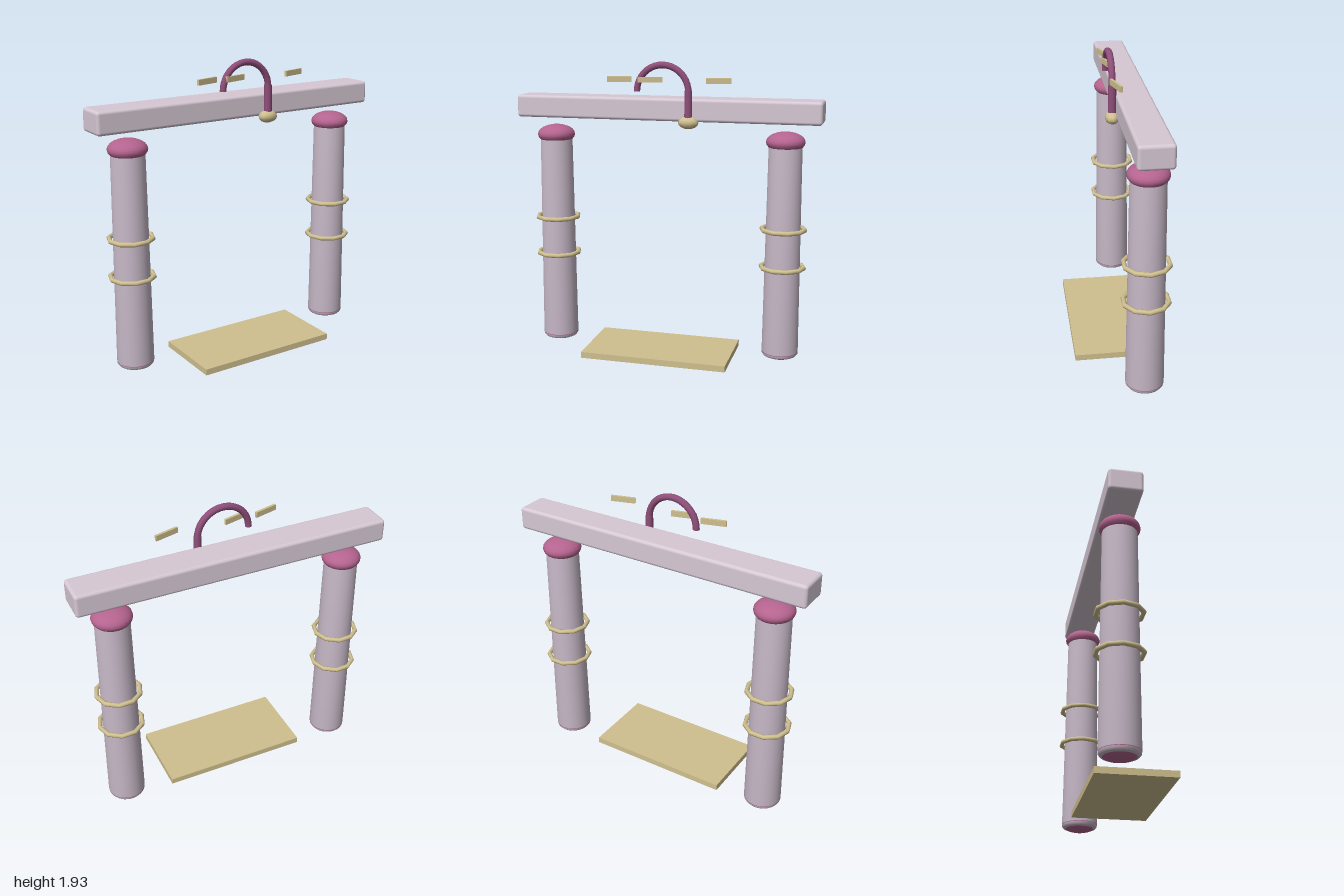
import * as THREE from 'three';
import { RoundedBoxGeometry } from 'three/addons/geometries/RoundedBoxGeometry.js';

const mat = (color) => new THREE.MeshStandardMaterial({ color });

export function createModel() {
  const model = new THREE.Group();
  model.name = 'gateway';
  const stone = mat(0xd6c8d4), pillar = mat(0xc4b6c4), rose = mat(0xb5648f);
  const plum = mat(0x8f4f7a), gold = mat(0xd0c08f);

  const add = (parent, name, geometry, material, x = 0, y = 0, z = 0) => {
    const mesh = new THREE.Mesh(geometry, material);
    mesh.name = name;
    mesh.position.set(x, y, z);
    parent.add(mesh);
    return mesh;
  };

  // Lintel across the top
  add(model, 'lintel', new RoundedBoxGeometry(2, 0.145, 0.21, 3, 0.02), stone, 0, 1.622, -0.125);

  // Tapered columns with a rounded foot, cushion caps and paired rings
  const shaft = new THREE.LatheGeometry([
    [0, 0.017], [0.085, 0.017], [0.108, 0.025], [0.117, 0.036], [0.119, 0.055], [0.106, 1.43], [0, 1.43],
  ].map(([r, y]) => new THREE.Vector2(r, y)), 24);
  const cushion = new THREE.SphereGeometry(1, 24, 12);
  const ring = new THREE.TorusGeometry(0.138, 0.015, 8, 10).rotateX(Math.PI / 2);
  for (const side of [-1, 1]) {
    const column = new THREE.Group();
    column.name = side > 0 ? 'leftColumn' : 'rightColumn';
    column.position.set(side * 0.767, 0, -0.122);
    model.add(column);
    add(column, 'shaft', shaft, pillar);
    add(column, 'cap', cushion, rose, 0, 1.432, 0).scale.set(0.124, 0.065, 0.124);
    add(column, 'foot', cushion, rose, 0, 0.05, 0).scale.set(0.119, 0.05, 0.119);
    for (const y of [0.62, 0.87]) add(column, 'ring', ring, gold, 0, y, 0);
  }

  // Floor slab
  add(model, 'slab', new THREE.BoxGeometry(0.955, 0.04, 0.49), gold, 0, 0.04, 0.03);

  // Hook: half-round arch, straight stem and a flattened knob
  const hook = new THREE.Group();
  hook.name = 'hook';
  model.add(hook);
  add(hook, 'arch', new THREE.TorusGeometry(0.167, 0.021, 10, 20, Math.PI), plum, 0, 1.738, 0);
  add(hook, 'archEnd', new THREE.CircleGeometry(0.021, 10).rotateX(Math.PI / 2), plum, -0.167, 1.738, 0);
  add(hook, 'stem', new THREE.CylinderGeometry(0.024, 0.026, 0.2, 12), plum, 0.167, 1.65, 0);
  add(hook, 'knob', new THREE.SphereGeometry(1, 10, 8), gold, 0.167, 1.548, 0).scale.set(0.066, 0.04, 0.045);

  // Small turned plates above the lintel
  for (const x of [-0.282, -0.08, 0.36]) {
    add(model, 'plate', new THREE.BoxGeometry(0.156, 0.035, 0.016), gold, x, 1.812, 0.003).rotation.y = 0.27;
  }
  return model;
}
